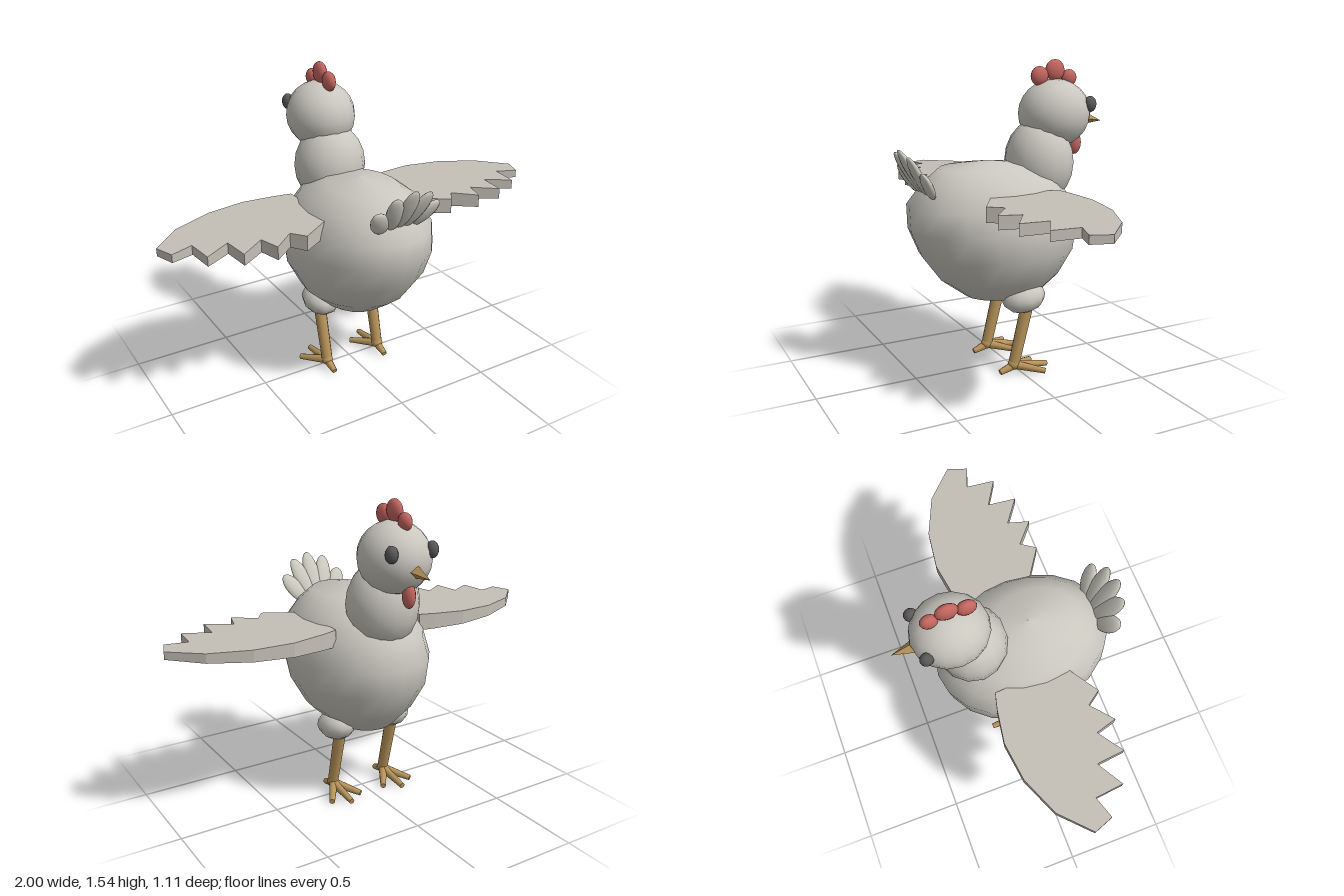
import * as THREE from 'three';

const mat = (name, color) => new THREE.MeshStandardMaterial({ name, color });

export function createModel() {
  const plumage = mat('plumage', 0xcac7bf);
  const wingColour = mat('wing feathers', 0xc4bfb6);
  const tailColour = mat('tail feathers', 0xcccabf);
  const red = mat('comb red', 0xc4655f);
  const legColour = mat('leg ochre', 0xb8945a);
  const dark = mat('eye grey', 0x5a585a);

  const model = new THREE.Group();
  model.name = 'hen';

  const add = (name, geometry, material, parent = model) => {
    const mesh = new THREE.Mesh(geometry, material);
    mesh.name = name;
    parent.add(mesh);
    return mesh;
  };
  const ellipsoid = (name, material, pos, radii, parent = model, w = 12, h = 10) => {
    const mesh = add(name, new THREE.SphereGeometry(1, w, h), material, parent);
    mesh.position.set(...pos);
    mesh.scale.set(...radii);
    return mesh;
  };
  // Tapered rod between two points
  const rod = (name, material, from, to, r0, r1, parent) => {
    const a = new THREE.Vector3(...from), b = new THREE.Vector3(...to);
    const dir = b.clone().sub(a);
    const mesh = add(name, new THREE.CylinderGeometry(r1, r0, dir.length(), 10), material, parent);
    mesh.position.copy(a).add(b).multiplyScalar(0.5);
    mesh.quaternion.setFromUnitVectors(new THREE.Vector3(0, 1, 0), dir.normalize());
    return mesh;
  };

  // Body: level rings of height, centre z, half depth, half width
  const rings = [
    [0.352, 0.0, 0.001, 0.001], [0.39, 0.02, 0.2, 0.155], [0.49, 0.04, 0.315, 0.262],
    [0.62, 0.05, 0.4, 0.33], [0.75, 0.067, 0.438, 0.345], [0.87, 0.09, 0.42, 0.32],
    [0.97, 0.09, 0.34, 0.26], [1.04, 0.13, 0.22, 0.165], [1.068, 0.1, 0.001, 0.001],
  ];
  const N = 20, pos = [], idx = [];
  rings.forEach(([y, zc, rz, rx], j) => {
    for (let i = 0; i < N; i++) {
      const t = (i / N) * Math.PI * 2;
      pos.push(rx * Math.cos(t), y, zc + rz * Math.sin(t));
      if (j === rings.length - 1) continue;
      const a = j * N + i, b = j * N + ((i + 1) % N);
      idx.push(a, a + N, b, b, a + N, b + N);
    }
  });
  const bodyGeo = new THREE.BufferGeometry();
  bodyGeo.setAttribute('position', new THREE.Float32BufferAttribute(pos, 3));
  bodyGeo.setIndex(idx);
  bodyGeo.computeVertexNormals();
  add('body', bodyGeo, plumage);

  // Neck and head
  ellipsoid('neck', plumage, [0, 1.04, -0.185], [0.18, 0.215, 0.175], model, 14, 10);
  ellipsoid('head', plumage, [0, 1.278, -0.273], [0.17, 0.17, 0.186], model, 16, 12);

  // Comb lobes and wattle
  const comb = new THREE.Group();
  comb.name = 'comb';
  model.add(comb);
  [[1.463, -0.186, 0.048], [1.489, -0.273, 0.054], [1.45, -0.354, 0.042]].forEach(([y, z, r]) =>
    ellipsoid('combLobe', red, [0, y, z], [0.029, r, r], comb));
  ellipsoid('wattle', red, [0, 1.122, -0.393], [0.03, 0.06, 0.036]);

  // Four-sided beak, faceted
  const beakGeo = new THREE.ConeGeometry(0.04, 0.13, 4).toNonIndexed();
  beakGeo.computeVertexNormals();
  const beak = add('beak', beakGeo, legColour);
  beak.position.set(0, 1.237, -0.486);
  beak.rotation.x = -Math.PI / 2 - 0.17;

  // Wing outline in plan, x outward and z
  const outline = [
    [0.24, -0.155], [0.32, -0.175], [0.48, -0.2], [0.67, -0.176], [0.86, -0.095], [1.0, 0.04],
    [0.965, 0.135], [0.86, 0.1], [0.845, 0.24], [0.72, 0.165], [0.705, 0.305], [0.585, 0.22],
    [0.555, 0.325], [0.45, 0.235], [0.4, 0.305], [0.27, 0.22], [0.22, 0.19],
  ];

  for (const s of [1, -1]) {
    const side = s > 0 ? 'left' : 'right';

    // Eye
    ellipsoid(side + 'Eye', dark, [s * 0.11, 1.325, -0.412], [0.029, 0.04, 0.033]);

    // Wing plate, thinning towards the tip
    const shape = new THREE.Shape(outline.map(([x, z]) => new THREE.Vector2(s * x, -z)));
    const wingGeo = new THREE.ExtrudeGeometry(shape, { depth: 1, bevelEnabled: false });
    wingGeo.rotateX(-Math.PI / 2);
    const p = wingGeo.attributes.position;
    for (let i = 0; i < p.count; i++) {
      const thickness = 0.097 - 0.06 * Math.abs(p.getX(i));
      p.setY(i, 0.898 + (p.getY(i) - 0.5) * thickness);
    }
    wingGeo.computeVertexNormals();
    add(side + 'Wing', wingGeo, wingColour);

    // Leg with thigh, shank and four toes
    const leg = new THREE.Group();
    leg.name = side + 'Leg';
    leg.position.x = s * 0.155;
    model.add(leg);
    const thigh = ellipsoid('thigh', plumage, [s * 0.005, 0.395, -0.017], [0.092, 0.074, 0.112], leg, 10, 8);
    thigh.rotation.x = 0.15;
    rod('shank', legColour, [0, 0.4, -0.052], [0, 0.05, 0.035], 0.032, 0.028, leg);
    ellipsoid('ankle', legColour, [0, 0.05, 0.035], [0.03, 0.03, 0.032], leg, 10, 8);
    [[0, -0.152], [0.085, -0.1], [-0.085, -0.1], [0, 0.112]].forEach(([x, z]) =>
      rod('toe', legColour, [0, 0.045, 0.03], [x, 0.018, z], 0.023, 0.014, leg));
  }

  // Tail fan of five overlapping feathers, leaning back
  const tail = new THREE.Group();
  tail.name = 'tail';
  tail.position.set(0, 0.93, 0.43);
  tail.rotation.x = 0.53;
  model.add(tail);
  for (let i = -2; i <= 2; i++) {
    const drop = i * i;
    const feather = ellipsoid('tailFeather', tailColour,
      [i * 0.062, 0.125 - drop * 0.014, 0], [0.046, 0.13 - drop * 0.011, 0.022], tail);
    feather.rotation.z = -i * 0.25;
  }

  return model;
}
